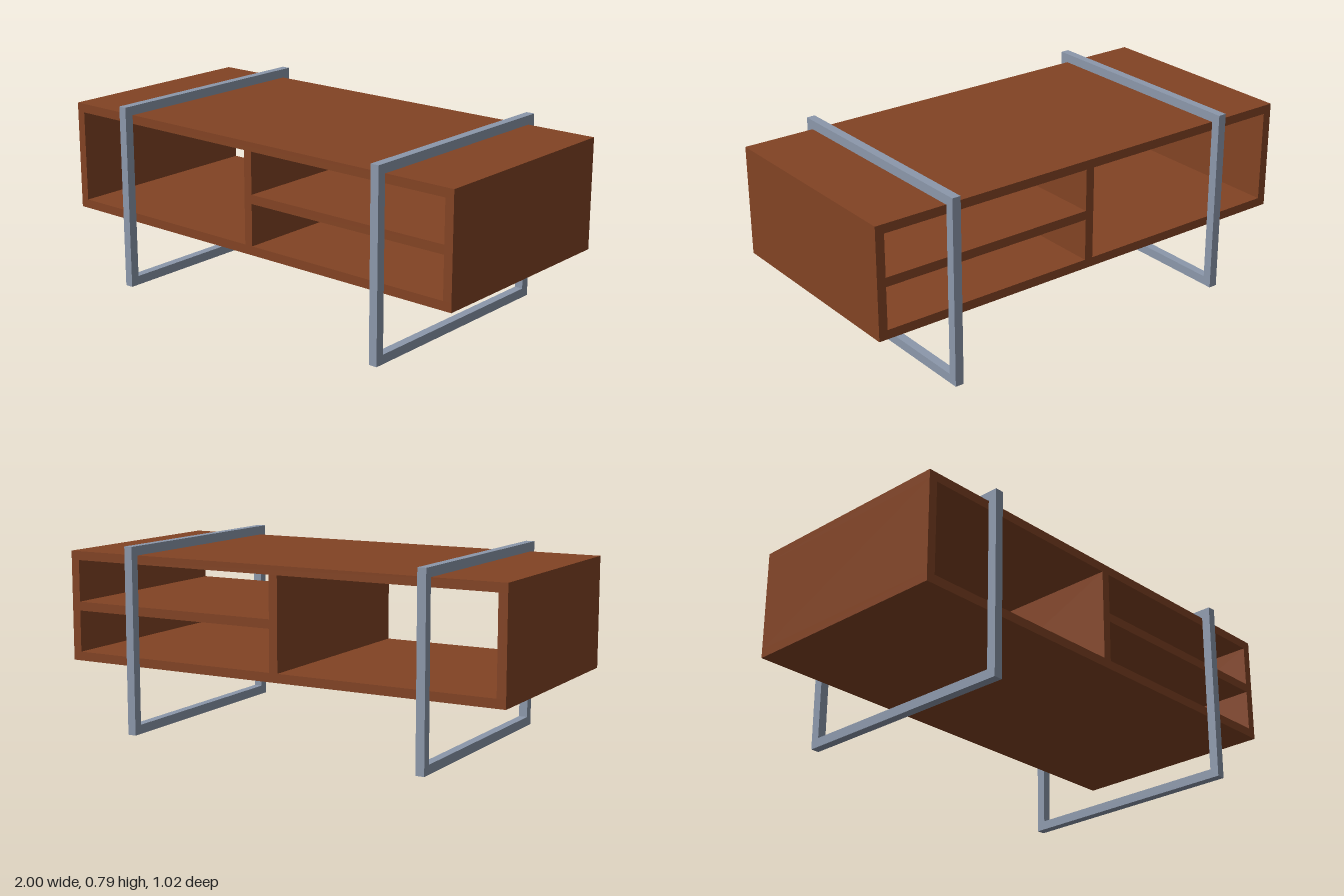
import * as THREE from 'three';

const wood = new THREE.MeshStandardMaterial({ name: 'walnut wood', color: 0x824324 });
const steel = new THREE.MeshStandardMaterial({ name: 'grey steel', color: 0x8c98ab });

// Box spanning the given x, y and z ranges
function panel(name, [x0, x1], [y0, y1], [z0, z1]) {
  const mesh = new THREE.Mesh(new THREE.BoxGeometry(x1 - x0, y1 - y0, z1 - z0), wood);
  mesh.name = name;
  mesh.position.set((x0 + x1) / 2, (y0 + y1) / 2, (z0 + z1) / 2);
  return mesh;
}

// Closed rectangular loop that wraps the cabinet and forms its legs
function legFrame(name, x) {
  const halfDepth = 0.51, height = 0.791, bar = 0.039, width = 0.037;
  const rect = (path, a, b, c, d) =>
    path.moveTo(a, b).lineTo(c, b).lineTo(c, d).lineTo(a, d).closePath();
  const shape = new THREE.Shape();
  rect(shape, -halfDepth, 0, halfDepth, height);
  const hole = new THREE.Path();
  rect(hole, -halfDepth + bar, bar, halfDepth - bar, height - bar);
  shape.holes.push(hole);
  const geometry = new THREE.ExtrudeGeometry(shape, { depth: width, bevelEnabled: false });
  geometry.translate(0, 0, -width / 2).rotateY(Math.PI / 2);
  const mesh = new THREE.Mesh(geometry, steel);
  mesh.name = name;
  mesh.position.x = x;
  return mesh;
}

export function createModel() {
  const model = new THREE.Group();
  model.name = 'coffeeTable';

  // Open-ended cabinet
  const t = 0.038, bottom = 0.284, top = 0.752;
  const depth = [-0.469, 0.469], inside = [bottom + t, top - t];
  const cabinet = new THREE.Group();
  cabinet.name = 'cabinet';
  cabinet.add(
    panel('tabletop', [-1, 1], [top - t, top], depth),
    panel('bottomPanel', [-1, 1], [bottom, bottom + t], depth),
    panel('rightSide', [-1, -1 + t], inside, depth),
    panel('leftSide', [1 - t, 1], inside, depth),
    panel('divider', [-t / 2, t / 2], inside, depth),
    panel('shelf', [t / 2, 1 - t], [0.499, 0.537], depth)
  );
  model.add(cabinet);

  // Leg frames
  model.add(legFrame('rightLegFrame', -0.672), legFrame('leftLegFrame', 0.672));
  return model;
}
